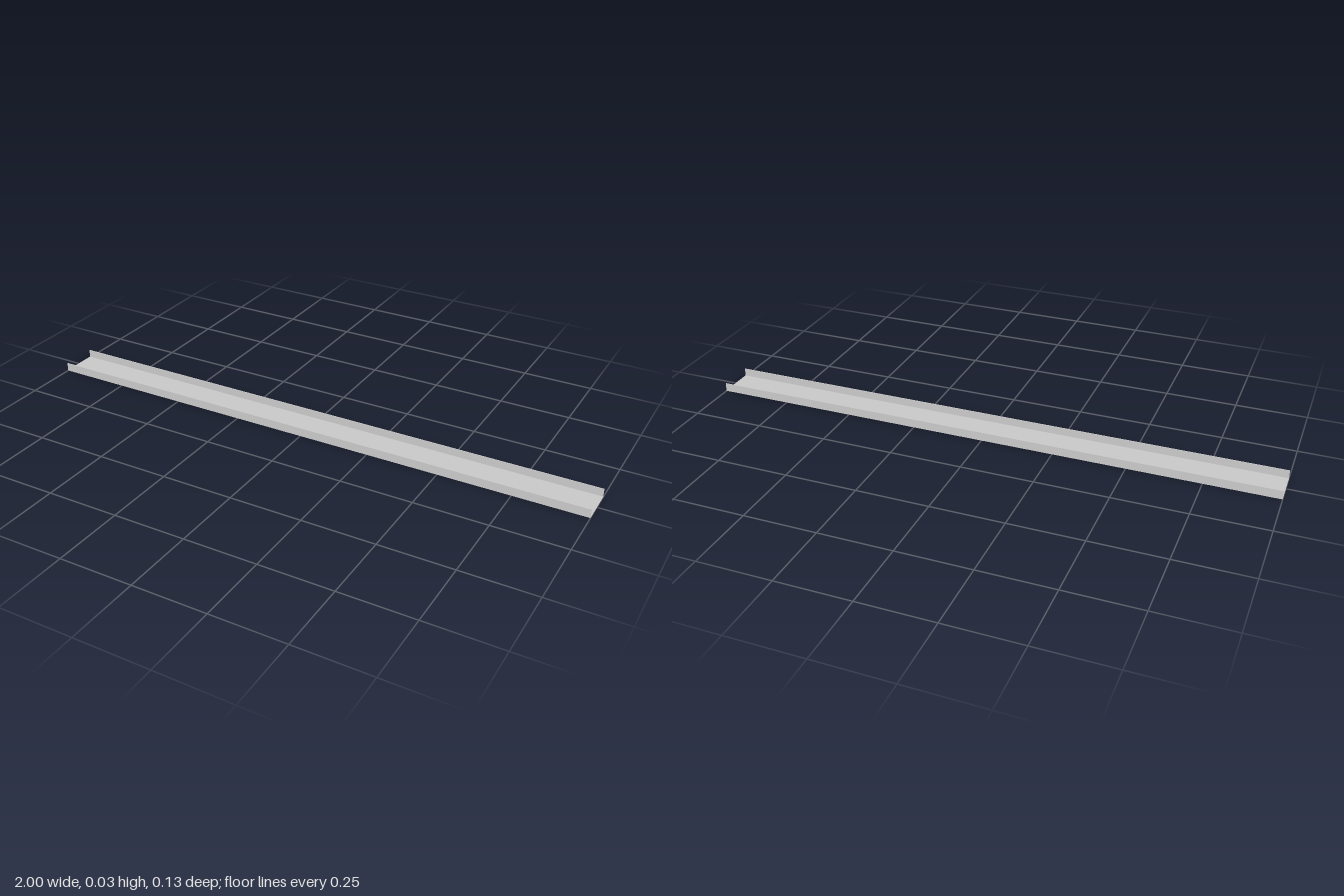
import * as THREE from 'three';

const HALF_LENGTH = 1;
const HALF_WIDTH = 0.066;
const HEIGHT = 0.03;
const SHEET = 0.003;

// Sweeps a closed counter-clockwise [z, y] profile along x, leaving the ends open
function openSweep(profile) {
  const positions = [];
  profile.forEach(([z0, y0], i) => {
    const [z1, y1] = profile[(i + 1) % profile.length];
    const a = [-HALF_LENGTH, y0, z0], b = [HALF_LENGTH, y0, z0];
    const c = [HALF_LENGTH, y1, z1], d = [-HALF_LENGTH, y1, z1];
    positions.push(...a, ...b, ...c, ...a, ...c, ...d);
  });
  const geometry = new THREE.BufferGeometry();
  geometry.setAttribute('position', new THREE.Float32BufferAttribute(positions, 3));
  geometry.computeVertexNormals();
  return geometry;
}

export function createModel() {
  const group = new THREE.Group();
  group.name = 'channel';

  // Thin U-shaped sheet: flat floor with an upright flange on each long side
  const w = HALF_WIDTH, i = HALF_WIDTH - SHEET;
  const profile = [
    [-w, 0], [w, 0], [w, HEIGHT], [i, HEIGHT],
    [i, SHEET], [-i, SHEET], [-i, HEIGHT], [-w, HEIGHT],
  ];
  const material = new THREE.MeshStandardMaterial({ color: 0xcccccc, side: THREE.DoubleSide });
  const channel = new THREE.Mesh(openSweep(profile), material);
  channel.name = 'channelSheet';
  group.add(channel);
  return group;
}
